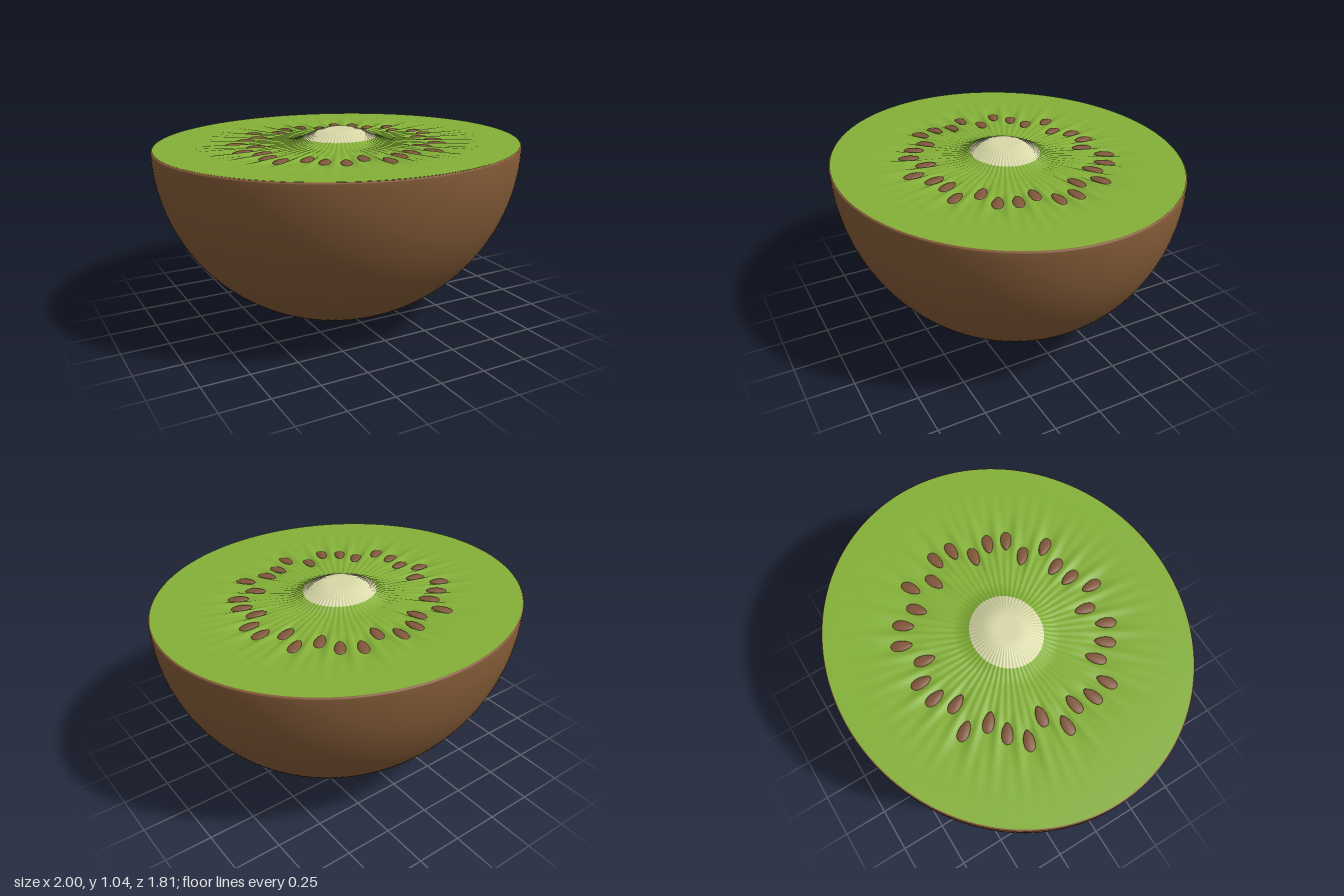
import * as THREE from 'three';

const DEPTH = 0.905; // the fruit is slightly narrower front to back
const TOP = 0.97; // height of the cut
const SEED_RADII = [
  0.55, 0.47, 0.527, 0.545, 0.47, 0.57, 0.495, 0.5, 0.567, 0.465, 0.55, 0.53, 0.485, 0.57, 0.54, 0.495,
  0.556, 0.463, 0.568, 0.53, 0.49, 0.58, 0.48, 0.535, 0.544, 0.475, 0.575, 0.56, 0.5, 0.57, 0.48, 0.557,
];
const STEP = (Math.PI * 2) / SEED_RADII.length;

const smooth = THREE.MathUtils.smoothstep;

// Height of the cut face: raised core, radial ribs and a hollow round each seed
function faceHeight(r, a) {
  const dome = 0.067 * (1 - smooth(r, 0.07, 0.285));
  const fade = smooth(r, 0.03, 0.25) * (1 - smooth(r, 0.6, 0.95));
  const ribs = 0.0022 * fade * (Math.cos(a * 64) - 1);
  const i = Math.round(a / STEP);
  const seedR = SEED_RADII[i % SEED_RADII.length];
  const across = ((a - i * STEP) * r) / 0.032;
  const along = (r - seedR) / (r > seedR ? 0.13 : 0.08);
  const hollow = 0.016 * Math.exp(-across * across - along * along);
  return TOP + 0.004 + dome + ribs - hollow;
}

// Ring-shaped part of the cut face, closed round the centre
function faceRing(r0, r1, rows, height) {
  const cols = 320;
  const positions = [];
  const index = [];
  for (let j = 0; j <= rows; j++) {
    const r = r0 + ((r1 - r0) * j) / rows;
    for (let i = 0; i < cols; i++) {
      const a = (i / cols) * Math.PI * 2;
      positions.push(r * Math.cos(a), height(r, a), r * Math.sin(a) * DEPTH);
      if (j === rows) continue;
      const n = (i + 1) % cols;
      const p = j * cols + i, q = j * cols + n;
      index.push(p, q, p + cols, q, q + cols, p + cols);
    }
  }
  const geometry = new THREE.BufferGeometry();
  geometry.setAttribute('position', new THREE.Float32BufferAttribute(positions, 3));
  geometry.setIndex(index);
  geometry.computeVertexNormals();
  return geometry;
}

export function createModel() {
  const group = new THREE.Group();
  const material = (name, color) => {
    const m = new THREE.MeshStandardMaterial({ color });
    m.name = name;
    return m;
  };
  const skinBrown = material('skin brown', 0x855c38);
  const fleshGreen = material('flesh green', 0x84b038);
  const coreCream = material('core cream', 0xd8d8a8);
  const seedBrown = material('seed brown', 0x80563a);

  const add = (name, geometry, mat, parent = group) => {
    const mesh = new THREE.Mesh(geometry, mat);
    mesh.name = name;
    parent.add(mesh);
    return mesh;
  };

  // Skin: lower half of an egg shape with a narrow rounded lip
  const profile = [];
  for (let i = 0; i <= 48; i++) {
    const t = (i / 48) * (Math.PI / 2);
    profile.push(new THREE.Vector2(Math.sin(t), TOP - 0.006 - (TOP - 0.006) * Math.cos(t)));
  }
  profile.push(new THREE.Vector2(0.998, TOP), new THREE.Vector2(0.988, TOP + 0.002));
  const skin = new THREE.LatheGeometry(profile, 128);
  skin.scale(1, 1, DEPTH);
  skinBrown.side = THREE.DoubleSide;
  add('skin', skin, skinBrown);

  // Cut face
  add('flesh', faceRing(0.2, 0.992, 72, faceHeight), fleshGreen);
  add('core', faceRing(0, 0.2, 20, faceHeight), coreCream);

  // Seeds lying in their hollows, pointing at the core
  const seeds = new THREE.Group();
  seeds.name = 'seeds';
  group.add(seeds);
  const seedShape = new THREE.SphereGeometry(1, 16, 10);
  // Narrow the inner end to a point
  const p = seedShape.attributes.position;
  for (let i = 0; i < p.count; i++) {
    const taper = 1 + 0.25 * p.getX(i);
    p.setZ(i, p.getZ(i) * taper);
  }
  seedShape.scale(0.056, 0.012, 0.029);
  seedShape.computeVertexNormals();
  SEED_RADII.forEach((r, i) => {
    const a = i * STEP;
    const x = r * Math.cos(a), z = r * Math.sin(a) * DEPTH;
    const seed = add('seed', seedShape, seedBrown, seeds);
    seed.position.set(x, TOP - 0.009, z);
    seed.rotation.order = 'YXZ';
    seed.rotation.set(0, -Math.atan2(z, x), -0.06);
  });

  return group;
}
